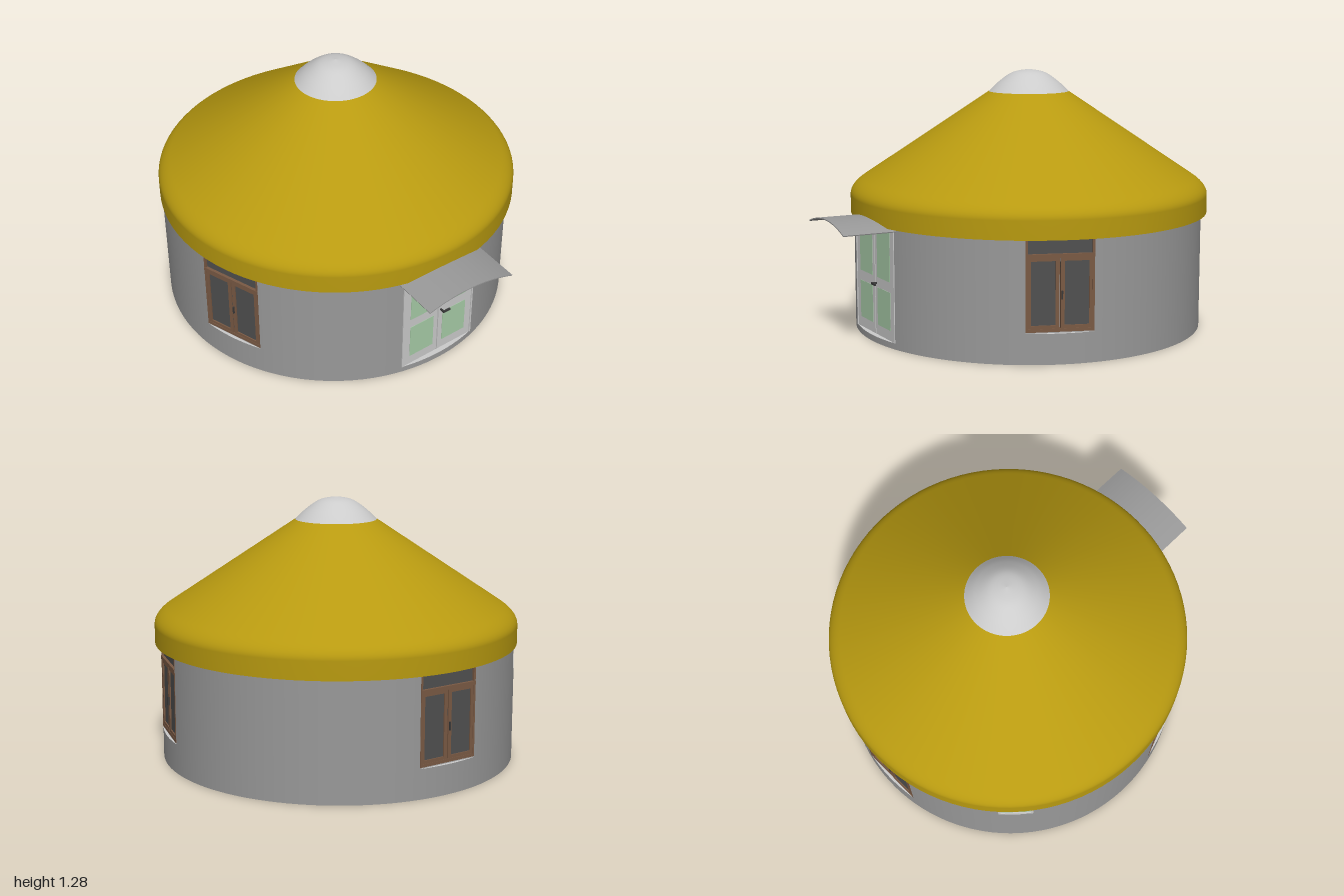
import * as THREE from 'three';

const mat = (color, side = THREE.FrontSide) => new THREE.MeshStandardMaterial({ color, side });
const M = {
  wall: mat(0x999999, THREE.DoubleSide),
  roof: mat(0xb89a10, THREE.DoubleSide),
  pale: mat(0xdddddd, THREE.DoubleSide),
  wood: mat(0x7a5a44),
  glass: mat(0x505050),
  green: mat(0xa8cca8),
  dark: mat(0x3a3a3a),
};
const R = 0.875, EAVE = 0.585, rad = THREE.MathUtils.degToRad;

function add(parent, name, geometry, material, x = 0, y = 0, z = 0) {
  const mesh = new THREE.Mesh(geometry, material);
  mesh.name = name;
  mesh.position.set(x, y, z);
  parent.add(mesh);
  return mesh;
}

// Box given by its left, right, bottom, top, back and front limits
function bar(parent, name, material, x0, x1, y0, y1, z0, z1) {
  return add(parent, name, new THREE.BoxGeometry(x1 - x0, y1 - y0, z1 - z0), material,
    (x0 + x1) / 2, (y0 + y1) / 2, (z0 + z1) / 2);
}

// Rectangular frame with a pane inside
function framed(parent, name, frame, pane, x0, x1, y0, y1, t, z) {
  bar(parent, name + 'Pane', pane, x0, x1, y0, y1, z - 0.02, z - 0.006);
  bar(parent, name + 'Bottom', frame, x0, x1, y0, y0 + t, z - 0.02, z);
  bar(parent, name + 'Top', frame, x0, x1, y1 - t, y1, z - 0.02, z);
  for (const x of [x0, x1 - t]) bar(parent, name + 'Side', frame, x, x + t, y0, y1, z - 0.02, z);
}

// Two wooden casements below a transom pane
function buildWindow(g, w) {
  const b = 0.15;
  bar(g, 'windowTransomPane', M.glass, -w, w, 0.5, EAVE, -0.024, -0.01);
  bar(g, 'windowTransomBar', M.wood, -w, w, 0.492, 0.51, -0.024, 0.004);
  bar(g, 'windowBottomRail', M.wood, -w, w, b, b + 0.015, -0.024, 0.002);
  for (const s of [-1, 1]) {
    const e = s * (w - 0.005);
    bar(g, 'windowJamb', M.wood, e - 0.005, e + 0.005, b, EAVE, -0.024, 0.002);
    const c = s * (w / 2 - 0.002), h = w / 2 - 0.005;
    framed(g, 'casement', M.wood, M.glass, c - h, c + h, b + 0.012, 0.495, 0.018, 0);
  }
  bar(g, 'windowLatch', M.dark, 0.006, 0.012, 0.3, 0.34, 0, 0.008);
}

// Pale double door with two green panes in each leaf
function buildDoor(g, w) {
  bar(g, 'doorBacking', M.dark, -w, w, 0.03, EAVE, -0.03, -0.012);
  for (const s of [-1, 1]) {
    const x0 = s > 0 ? 0.003 : -w + 0.006, x1 = s > 0 ? w - 0.006 : -0.003;
    bar(g, 'doorLeaf', M.pale, x0, x1, 0.03, EAVE, -0.014, 0);
    for (const [y0, y1] of [[0.08, 0.265], [0.315, 0.57]])
      bar(g, 'doorPane', M.green, s * 0.1 - 0.072, s * 0.1 + 0.072, y0, y1, -0.01, 0.002);
    bar(g, 'doorPost', M.pale, s * w - 0.004, s * w + 0.004, 0.03, EAVE, -0.03, 0.003);
  }
  bar(g, 'doorLockBlock', M.dark, 0.012, 0.02, 0.28, 0.288, 0, 0.026);
  bar(g, 'doorHandle', M.dark, 0.012, 0.055, 0.279, 0.289, 0.02, 0.028);
}

// Small green vent under the eave
function buildVent(g, w) {
  framed(g, 'vent', M.pale, M.green, -w, w, 0.468, EAVE, 0.012, 0.002);
}

// Openings ordered round the wall: bearing from the front, half angle, sill height
const OPENINGS = [
  { name: 'ventWindow', a: rad(-134), h: rad(5.7), y: 0.465, build: buildVent },
  { name: 'rightWindow', a: rad(-70), h: rad(10.5), y: 0.145, build: buildWindow },
  { name: 'door', a: rad(1), h: rad(14.2), y: 0.03, build: buildDoor },
  { name: 'leftWindow', a: rad(70.8), h: rad(10.5), y: 0.145, build: buildWindow },
  { name: 'backWindow', a: rad(178.5), h: rad(10.5), y: 0.145, build: buildWindow },
];

function wallPiece(parent, name, a0, a1, height) {
  const n = Math.max(6, Math.ceil((a1 - a0) / 0.06));
  add(parent, name, new THREE.CylinderGeometry(R, R, height, n, 1, true, a0, a1 - a0),
    M.wall, 0, height / 2, 0);
}

export function createModel() {
  const model = new THREE.Group();
  model.name = 'roundHouse';
  const house = new THREE.Group();
  house.name = 'walls';
  house.position.set(-0.012, 0, -0.102);
  model.add(house);

  // Wall, sills and the fittings in each opening
  OPENINGS.forEach((o, i) => {
    const next = OPENINGS[(i + 1) % OPENINGS.length];
    const end = next.a - next.h + (i === OPENINGS.length - 1 ? 2 * Math.PI : 0);
    wallPiece(house, 'wall', o.a + o.h, end, EAVE + 0.01);
    wallPiece(house, 'wallBelowOpening', o.a - o.h, o.a + o.h, o.y);

    const g = new THREE.Group();
    g.name = o.name;
    g.rotation.y = o.a;
    house.add(g);
    const arc = new THREE.Shape();
    arc.absarc(0, 0, R, Math.PI / 2 - o.h, Math.PI / 2 + o.h);
    add(g, 'sill', new THREE.ShapeGeometry(arc, 16).rotateX(Math.PI / 2), M.pale, 0, o.y, 0);
    const fittings = new THREE.Group();
    fittings.name = o.name + 'Fittings';
    fittings.position.z = R * Math.cos(o.h);
    g.add(fittings);
    o.build(fittings, R * Math.sin(o.h));
  });
  add(house, 'floor', new THREE.CircleGeometry(R, 96).rotateX(Math.PI / 2), M.wall);

  // Roof: upright eave, rounded shoulder and straight cone
  const shoulder = new THREE.QuadraticBezierCurve(
    new THREE.Vector2(0.896, 0.67), new THREE.Vector2(0.896, 0.71), new THREE.Vector2(0.835, 0.75));
  const profile = [new THREE.Vector2(0.896, 0.58), ...shoulder.getPoints(8), new THREE.Vector2(0.2, 1.175)];
  add(model, 'roof', new THREE.LatheGeometry(profile, 96), M.roof, 0, 0, -0.102);
  add(model, 'ceiling', new THREE.CircleGeometry(0.895, 96).rotateX(Math.PI / 2), M.roof, 0, EAVE, -0.102);

  // Domed skylight
  const dome = new THREE.SplineCurve([[0.202, 1.172], [0.15, 1.222], [0.08, 1.269], [0, 1.285]]
    .map(p => new THREE.Vector2(...p))).getPoints(16);
  dome[dome.length - 1].x = 0;
  add(model, 'skylight', new THREE.LatheGeometry(dome, 64), M.pale, 0, 0, -0.102);

  // Thin arched canopy over the door
  const r = 0.74, half = 0.33, canopy = new THREE.Shape();
  canopy.absarc(0, 0, r, Math.PI / 2 - half, Math.PI / 2 + half);
  canopy.absarc(0, 0, r - 0.005, Math.PI / 2 + half, Math.PI / 2 - half, true);
  const hood = add(model, 'doorCanopy',
    new THREE.ExtrudeGeometry(canopy, { depth: 0.26, bevelEnabled: false, curveSegments: 20 }),
    M.wall, 0, 0.61 - r, 0.73);
  hood.rotation.y = -0.03;

  return model;
}
